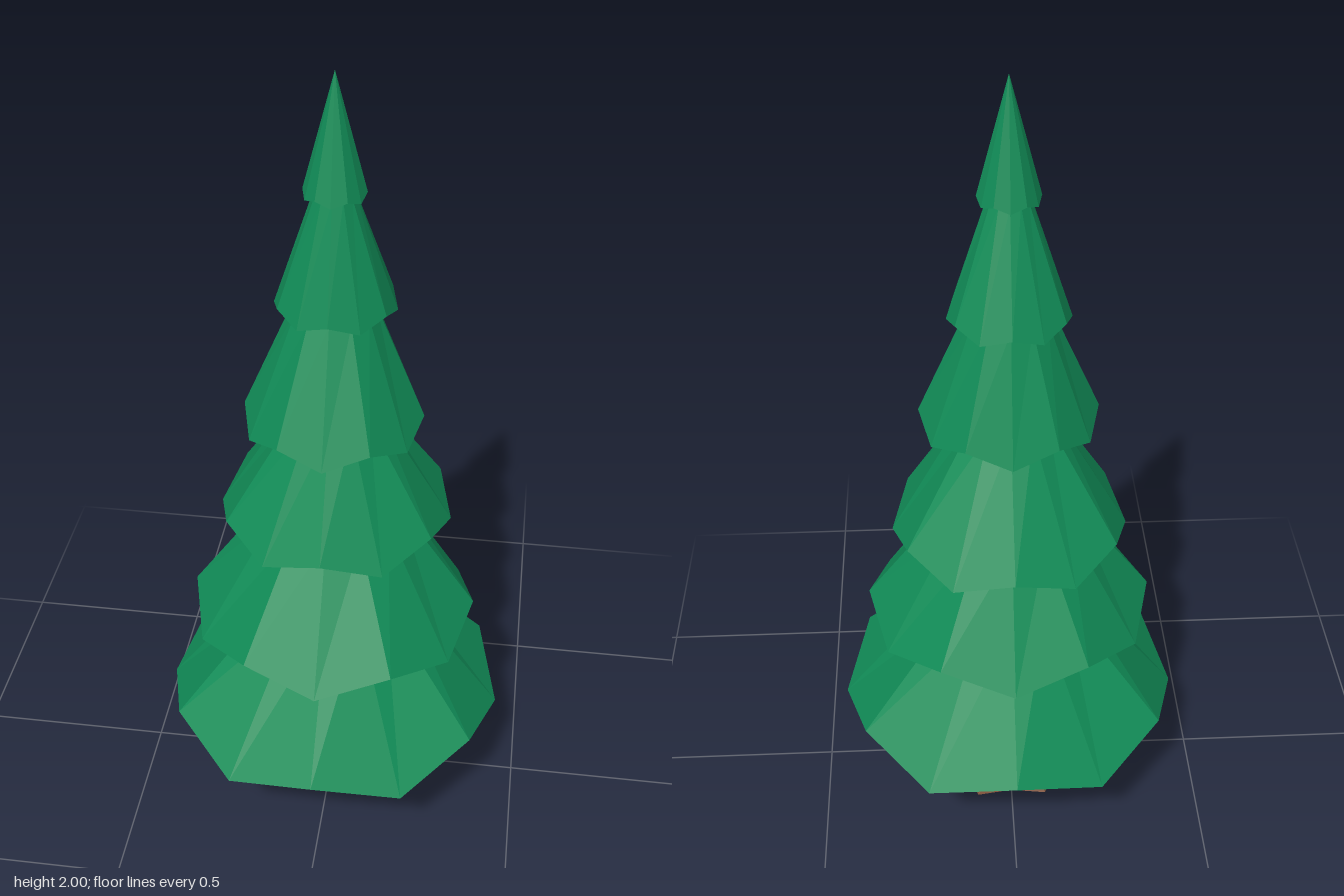
import * as THREE from 'three';

const SIDES = 12;
const APEX_Z = -0.02;

// One ring of points around the y axis; radius and height may alternate between even and odd points.
function ring(rEven, rOdd, yEven, yOdd, cz) {
  return Array.from({ length: SIDES }, (_, i) => {
    const a = (i / SIDES) * Math.PI * 2;
    const r = i % 2 ? rOdd : rEven;
    return [r * Math.sin(a), i % 2 ? yOdd : yEven, cz + r * Math.cos(a)];
  });
}

// Skins a stack of rings from bottom to top and closes both ends with fans.
function loft(rings, bottomCentre, topCentre) {
  const pos = [];
  const tri = (...pts) => pts.forEach((p) => pos.push(...p));
  const last = rings[rings.length - 1];
  for (let i = 0; i < SIDES; i++) {
    const j = (i + 1) % SIDES;
    tri(bottomCentre, rings[0][j], rings[0][i]);
    for (let k = 0; k < rings.length - 1; k++) {
      const lo = rings[k], hi = rings[k + 1];
      tri(lo[i], lo[j], hi[j]);
      tri(lo[i], hi[j], hi[i]);
    }
    tri(topCentre, last[i], last[j]);
  }
  const geo = new THREE.BufferGeometry();
  geo.setAttribute('position', new THREE.Float32BufferAttribute(pos, 3));
  geo.computeVertexNormals();
  return geo;
}

export function createModel() {
  const tree = new THREE.Group();
  tree.name = 'pineTree';
  const green = new THREE.MeshStandardMaterial({ color: 0x118c57, flatShading: true });
  const brown = new THREE.MeshStandardMaterial({ color: 0x7f5038, flatShading: true });

  // Trunk flaring into six root points
  const trunk = new THREE.Mesh(loft([
    ring(0.145, 0.183, 0, 0, APEX_Z),
    ring(0.09, 0.103, 0.11, 0.11, APEX_Z),
    ring(0.018, 0.018, 0.35, 0.35, APEX_Z),
  ], [0, 0, APEX_Z], [0, 0.35, APEX_Z]), brown);
  trunk.name = 'trunk';
  tree.add(trunk);

  // Branch tiers: rim radius, low and high rim height, rim centre z, top radius, top height
  const tiers = [
    [0.440, 0.25, 0.315, -0.008, 0.165, 0.61],
    [0.362, 0.55, 0.60, -0.003, 0.165, 0.87],
    [0.291, 0.835, 0.88, -0.042, 0.105, 1.16],
    [0.216, 1.13, 1.165, -0.005, 0.098, 1.44],
    [0.144, 1.43, 1.452, -0.036, 0.048, 1.722],
  ];
  tiers.forEach(([r, low, high, cz, rTop, yTop], n) => {
    // The zigzag of the rim swaps from tier to tier
    const [even, odd] = n % 2 ? [low, high] : [high, low];
    const mesh = new THREE.Mesh(loft(
      [ring(r, r, even, odd, cz), ring(rTop, rTop, yTop, yTop, APEX_Z)],
      [0, high, cz], [0, yTop, APEX_Z]), green);
    mesh.name = `branchTier${n + 1}`;
    tree.add(mesh);
  });

  // Pointed tip
  const tip = new THREE.Mesh(loft(
    [ring(0.072, 0.072, 1.715, 1.727, -0.022)],
    [0, 1.727, -0.022], [0, 2, APEX_Z]), green);
  tip.name = 'treeTip';
  tree.add(tip);

  return tree;
}
